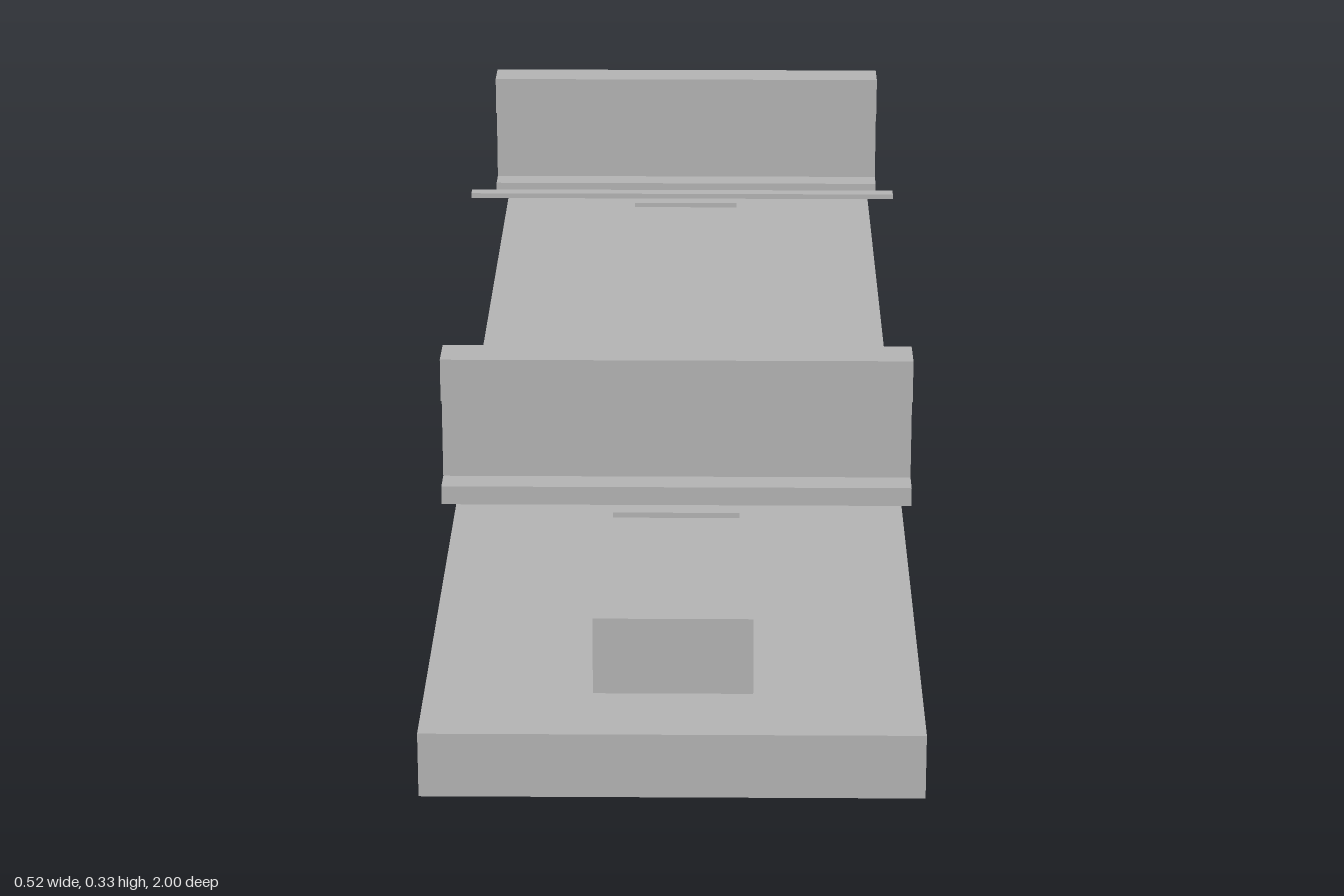
import * as THREE from 'three';

export function createModel() {
  const model = new THREE.Group();
  model.name = 'trackSection';
  const grey = new THREE.MeshStandardMaterial({ color: 0xb2b2b2 });
  grey.name = 'plain grey';

  // box spanning y0..y1, centred on x = 0 and on the given z
  function slab(parent, name, width, y0, y1, depth, z = 0) {
    const mesh = new THREE.Mesh(new THREE.BoxGeometry(width, y1 - y0, depth), grey);
    mesh.name = name;
    mesh.position.set(0, (y0 + y1) / 2, z);
    parent.add(mesh);
  }

  const length = 0.516;

  // ballast bed and the sleeper lying on it
  slab(model, 'ballastBed', length, 0, 0.07, 2);
  slab(model, 'sleeper', 0.166, 0.07, 0.154, 1.8);

  // two rails, each on its tie plate
  for (const side of [1, -1]) {
    const rail = new THREE.Group();
    rail.name = side > 0 ? 'frontRail' : 'backRail';
    rail.position.z = side * 0.561;
    slab(rail, 'tiePlate', 0.138, 0.154, 0.16, 0.125);
    slab(rail, 'railFoot', length, 0.16, 0.181, 0.08);
    slab(rail, 'railWeb', length, 0.181, 0.275, 0.016);
    slab(rail, 'railHead', length, 0.275, 0.323, 0.048);
    model.add(rail);
  }

  // thin strip floating along the centre line at rail-top height
  slab(model, 'centreLine', length, 0.326, 0.332, 0.016);

  return model;
}
